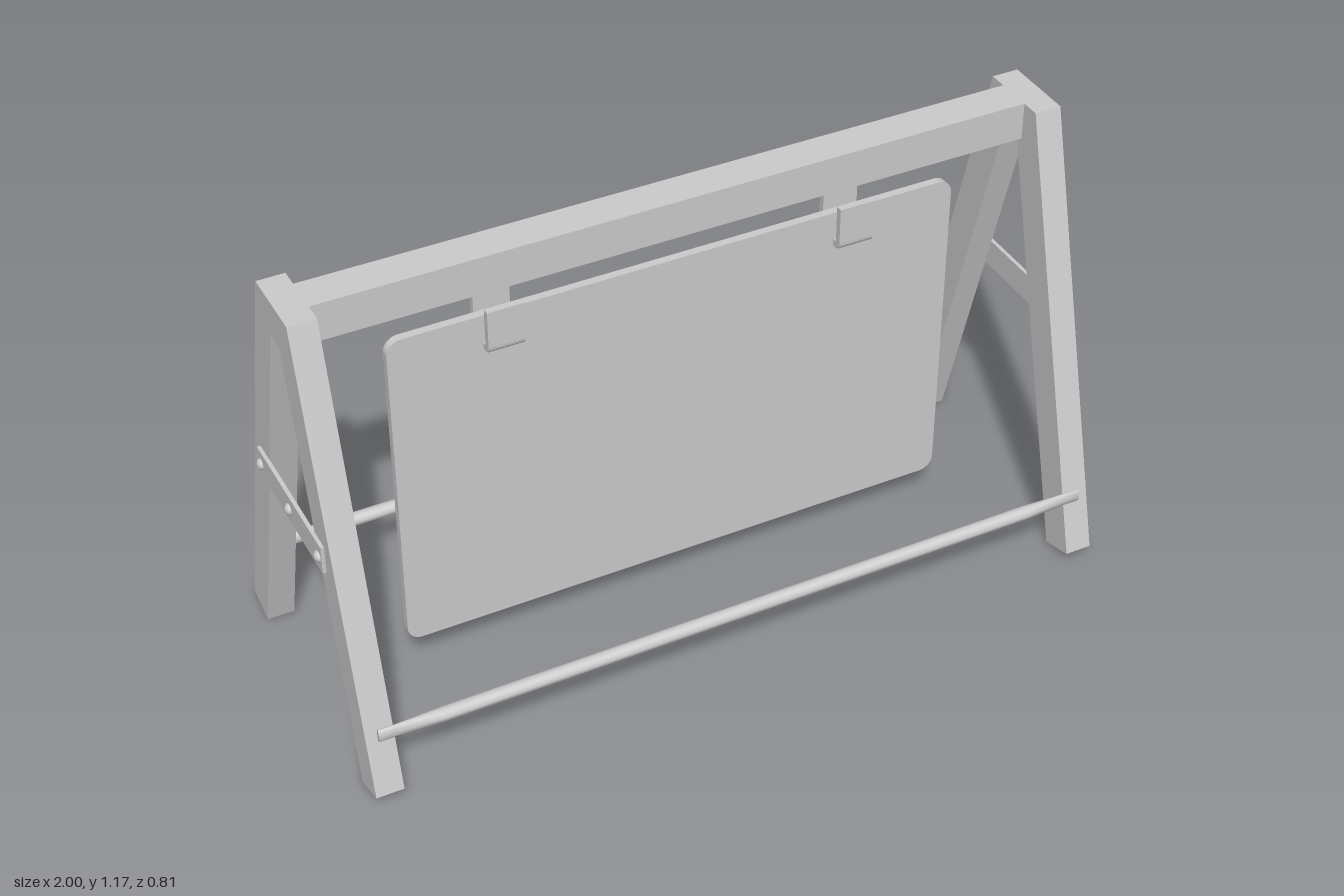
import * as THREE from 'three';

const mat = new THREE.MeshStandardMaterial({ color: 0xcccccc });

function add(group, name, geometry, x = 0, y = 0, z = 0) {
  const mesh = new THREE.Mesh(geometry, mat);
  mesh.name = name;
  mesh.position.set(x, y, z);
  group.add(mesh);
  return mesh;
}

// Extrudes a (z, y) outline along x, from x0 to x0 + width
function extrudeAlongX(shape, x0, width) {
  const g = new THREE.ExtrudeGeometry(shape, { depth: width, bevelEnabled: false, curveSegments: 6 });
  g.rotateY(-Math.PI / 2); // shape x -> z, depth -> -x
  g.translate(x0 + width, 0, 0);
  return g;
}

function roundedRect(w, h, r) {
  const s = new THREE.Shape(), a = w / 2 - r, b = h / 2 - r;
  s.absarc(a, b, r, 0, Math.PI / 2);
  s.absarc(-a, b, r, Math.PI / 2, Math.PI);
  s.absarc(-a, -b, r, Math.PI, 1.5 * Math.PI);
  s.absarc(a, -b, r, 1.5 * Math.PI, 2 * Math.PI);
  s.closePath();
  return s;
}

// A-shaped end frame with feet cut square to the legs
function endFrameShape() {
  const half = [[0.095, 1.17], [0.405, 0.027], [0.315, 0], [0.025, 1.072]];
  const mirrored = half.map(([z, y]) => [-z, y]).reverse();
  return new THREE.Shape([...half, ...mirrored].map(([z, y]) => new THREE.Vector2(z, y)));
}

// J-shaped strap: long back arm, rounded bottom, short front lip
function hookShape() {
  const s = new THREE.Shape();
  const zf = 0.052, zb = -0.047, y0 = 0.903, t = 0.017, r = 0.02, ri = 0.005;
  s.moveTo(zb, 1.075);
  s.lineTo(zb, y0 + r);
  s.quadraticCurveTo(zb, y0, zb + r, y0);
  s.lineTo(zf - r, y0);
  s.quadraticCurveTo(zf, y0, zf, y0 + r);
  s.lineTo(zf, 1.02);
  s.lineTo(zf - t, 1.02);
  s.lineTo(zf - t, y0 + t + ri);
  s.quadraticCurveTo(zf - t, y0 + t, zf - t - ri, y0 + t);
  s.lineTo(zb + t + ri, y0 + t);
  s.quadraticCurveTo(zb + t, y0 + t, zb + t, y0 + t + ri);
  s.lineTo(zb + t, 1.075);
  s.closePath();
  return s;
}

// Round rod whose ends are pressed flat in z
function railGeometry() {
  const r = 0.018;
  const xs = [-0.95, -0.91, -0.86, -0.79, 0.79, 0.86, 0.91, 0.95];
  const profile = [new THREE.Vector2(0, xs[0]), ...xs.map(x => new THREE.Vector2(r, x)), new THREE.Vector2(0, xs[7])];
  let g = new THREE.LatheGeometry(profile, 20);
  g.rotateZ(-Math.PI / 2);
  const p = g.attributes.position;
  for (let i = 0; i < p.count; i++) {
    const k = THREE.MathUtils.smoothstep(Math.abs(p.getX(i)), 0.78, 0.92);
    p.setZ(i, p.getZ(i) * (1 - 0.58 * k));
  }
  g.computeVertexNormals();
  return g;
}

export function createModel() {
  const model = new THREE.Group();
  model.name = 'hangingBoardStand';

  // End frames, side braces and bolts
  for (const side of [-1, 1]) {
    const end = new THREE.Group();
    end.name = side > 0 ? 'leftEnd' : 'rightEnd';
    model.add(end);
    add(end, 'endFrame', extrudeAlongX(endFrameShape(), side > 0 ? 0.91 : -0.98, 0.07));
    add(end, 'sideBrace', new THREE.BoxGeometry(0.01, 0.075, 0.405), side * 0.984, 0.597, 0);
    for (const z of [-0.183, 0, 0.183]) {
      const dome = new THREE.SphereGeometry(0.015, 16, 8, 0, Math.PI * 2, 0, Math.PI / 2);
      dome.scale(1, 0.8, 1);
      dome.rotateZ(-side * Math.PI / 2);
      add(end, 'bolt', dome, side * 0.988, 0.597, z);
    }
  }

  // Top beam between the end frames
  add(model, 'topBeam', new THREE.BoxGeometry(1.82, 0.098, 0.095), 0, 1.121, -0.001);

  // Lower rails on the outer faces of the legs
  for (const side of [-1, 1]) {
    add(model, side > 0 ? 'frontRail' : 'backRail', railGeometry(), 0, 0.183, side * 0.37);
  }

  // Hanging board
  const board = new THREE.ExtrudeGeometry(roundedRect(1.47, 0.893, 0.038), {
    depth: 0.021, bevelEnabled: false, curveSegments: 8,
  });
  add(model, 'board', board, 0, 0.548, 0.001);

  // Hooks under the beam
  for (const x of [-0.455, 0.455]) {
    add(model, 'hook', extrudeAlongX(hookShape(), -0.046, 0.092), x, 0, 0);
  }

  return model;
}
